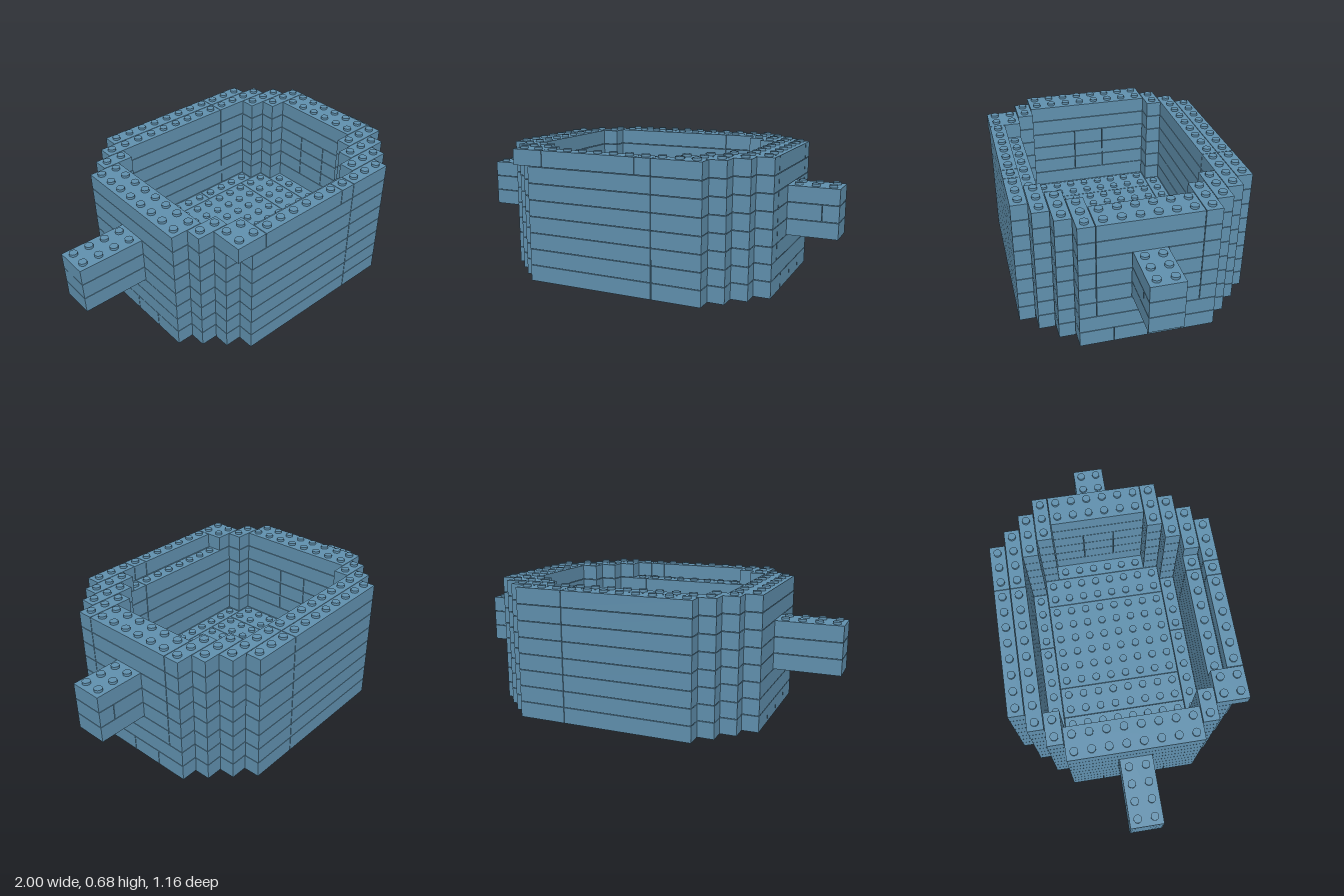
import * as THREE from 'three';

const P = 1 / 12;      // stud pitch and course height
const GAP = 0.003;     // joint between bricks
const COURSES = 8;

// A brick covers columns i0..i1 (along x) and rows r0..r1 (along z), ends excluded.
const mirrorRows = ([i0, i1, r0, r1]) => [i0, i1, 14 - r1, 14 - r0];
const bothEnds = (list) => [...list, ...list.map(mirrorRows)];

// Stepped end walls, two studs thick
const endWalls = bothEnds([
  [7, 15, 0, 1], [15, 18, 0, 1],
  [6, 15, 1, 2], [15, 19, 1, 2],
  [5, 7, 2, 3], [17, 20, 2, 3],
]);

// Solid floor courses
function floorCourse(k) {
  const list = [...endWalls, ...bothEnds([[7, 13, 2, 3], [13, 17, 2, 3]])];
  if (k === 0) {
    for (let r = 3; r < 11; r += 2) list.push([4, 12, r, r + 2], [12, 21, r, r + 2]);
  } else {
    const cuts = [4, 6, 8, 10, 16, 18, 21];
    for (let c = 0; c < cuts.length - 1; c++) list.push([cuts[c], cuts[c + 1], 3, 11]);
  }
  return list;
}

// Hollow wall courses; the side walls open around the handles
function wallCourse(k) {
  const list = k === COURSES - 1 ? rimEnds() : [...endWalls];
  list.push(...bothEnds([[18, 21, 3, 4]]));
  if (k >= 3 && k <= 5) {
    list.push(...bothEnds([[4, 6, 3, 6], [19, 21, 4, 6]]));
  } else {
    list.push([4, 6, 3, 11], [19, 21, 4, 10]);
  }
  return list;
}

// Top course: the front wall is thinner in the middle and leaves a ledge inside
function rimEnds() {
  const back = endWalls.slice(0, 6);
  return [
    ...back,
    ...back.slice(4).map(mirrorRows),
    [6, 8, 12, 14], [8, 14, 13, 14], [14, 15, 13, 14], [15, 18, 13, 14],
    [16, 19, 12, 13],
  ];
}

export function createModel() {
  const model = new THREE.Group();
  model.name = 'brickPot';
  const blue = new THREE.MeshStandardMaterial({ color: 0x6090ae });
  blue.name = 'dusty blue';

  const box = new THREE.BoxGeometry(1, 1, 1);
  const studShape = new THREE.CylinderGeometry(0.02, 0.02, 0.0125, 16);
  const filled = new Set();
  const placed = [];

  function addBrick(parent, name, k, [i0, i1, r0, r1]) {
    const m = new THREE.Mesh(box, blue);
    m.name = name;
    m.scale.set((i1 - i0) * P - GAP, P - GAP, (r1 - r0) * P - GAP);
    m.position.set(-1 + (i0 + i1) * P / 2, k * P + (P - GAP) / 2, (r0 + r1 - 14) * P / 2);
    parent.add(m);
    for (let i = i0; i < i1; i++) {
      for (let r = r0; r < r1; r++) {
        filled.add(`${i},${r},${k}`);
        placed.push([i, r, k, parent]);
      }
    }
  }

  // Floor and walls
  for (let k = 0; k < COURSES; k++) {
    const course = new THREE.Group();
    course.name = k < 2 ? 'floorCourse' : k === COURSES - 1 ? 'rimCourse' : 'wallCourse';
    const bricks = k < 2 ? floorCourse(k) : wallCourse(k);
    bricks.forEach((b) => addBrick(course, 'brick', k, b));
    model.add(course);
  }

  // Handles, keyed into the side walls
  const leftHandle = new THREE.Group();
  leftHandle.name = 'leftHandle';
  const rightHandle = new THREE.Group();
  rightHandle.name = 'rightHandle';
  for (let k = 3; k <= 5; k++) {
    addBrick(rightHandle, 'handleBrick', k, [0, 6, 6, 8]);
    if (k === 4) {
      addBrick(leftHandle, 'handleBrick', k, [19, 23, 6, 8]);
      addBrick(leftHandle, 'handleEnd', k, [23, 24, 6, 8]);
    } else {
      addBrick(leftHandle, 'handleBrick', k, [19, 24, 6, 8]);
    }
  }
  model.add(leftHandle, rightHandle);

  // Studs wherever nothing sits on a brick
  for (const [i, r, k, parent] of placed) {
    if (filled.has(`${i},${r},${k + 1}`)) continue;
    const stud = new THREE.Mesh(studShape, blue);
    stud.name = 'stud';
    stud.position.set(-1 + (i + 0.5) * P, (k + 1) * P - GAP + 0.00625, (r - 6.5) * P);
    parent.add(stud);
  }
  return model;
}
